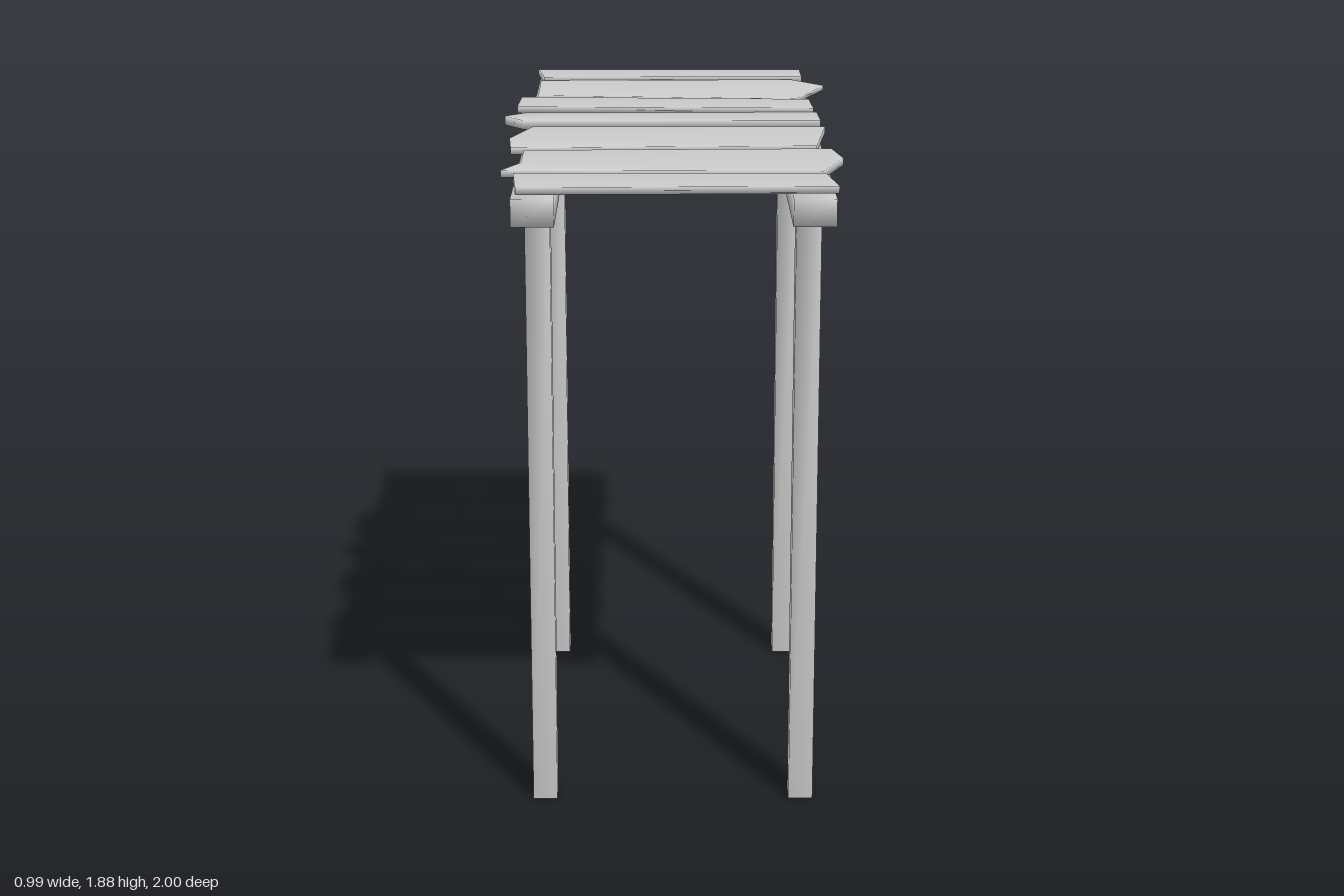
import * as THREE from 'three';
import { mergeVertices } from 'three/addons/utils/BufferGeometryUtils.js';

const material = new THREE.MeshStandardMaterial({ color: 0xcccccc });

// Welds the corners so that shading runs softly over the edges
function soften(geometry) {
  geometry.deleteAttribute('uv');
  geometry.deleteAttribute('normal');
  const welded = mergeVertices(geometry, 1e-4);
  welded.computeVertexNormals();
  return welded;
}

function addMesh(parent, name, geometry) {
  const mesh = new THREE.Mesh(soften(geometry), material);
  mesh.name = name;
  parent.add(mesh);
  return mesh;
}

// Board cut to an outline of [x, z] corners; its top runs from yFront to yBack
function plankGeometry({ outline, yFront, yBack, roll = 0, thickness = 0.02 }) {
  const shape = new THREE.Shape(outline.map(([x, z]) => new THREE.Vector2(x, -z)));
  const geometry = new THREE.ExtrudeGeometry(shape, { depth: thickness, bevelEnabled: false });
  geometry.rotateX(-Math.PI / 2);
  const zs = outline.map(([, z]) => z);
  const zBack = Math.min(...zs);
  const span = Math.max(...zs) - zBack;
  const p = geometry.attributes.position;
  for (let i = 0; i < p.count; i++) {
    const t = (p.getZ(i) - zBack) / span;
    p.setY(i, p.getY(i) - thickness + yBack + (yFront - yBack) * t + roll * p.getX(i));
  }
  return geometry;
}

// Deck boards from front to back, with broken or skewed ends
const planks = [
  { outline: [[-0.435, 0.73], [0.415, 0.735], [0.435, 0.98], [-0.415, 1.0]], yFront: 1.877, yBack: 1.86 },
  { outline: [[-0.42, 0.42], [0.45, 0.4], [0.475, 0.54], [0.41, 0.72], [-0.47, 0.705], [-0.42, 0.6]], yFront: 1.863, yBack: 1.863 },
  { outline: [[-0.41, 0.07], [0.45, 0.1], [0.41, 0.385], [-0.46, 0.385], [-0.47, 0.245]], yFront: 1.866, yBack: 1.868, roll: 0.006 },
  { outline: [[-0.44, -0.145], [0.44, -0.15], [0.44, 0.05], [-0.44, 0.05], [-0.5, -0.06]], yFront: 1.88, yBack: 1.868, thickness: 0.027 },
  { outline: [[-0.47, -0.48], [0.43, -0.41], [0.43, -0.155], [-0.47, -0.2]], yFront: 1.88, yBack: 1.858 },
  { outline: [[-0.42, -0.73], [0.39, -0.74], [0.49, -0.65], [0.39, -0.455], [-0.42, -0.505]], yFront: 1.856, yBack: 1.869, thickness: 0.015 },
  { outline: [[-0.44, -1.0], [0.43, -0.99], [0.425, -0.75], [-0.41, -0.74]], yFront: 1.878, yBack: 1.86 },
];

export function createModel() {
  const model = new THREE.Group();
  model.name = 'plankPlatform';

  // Beams and posts on both sides
  for (const [side, s] of [['left', 1], ['right', -1]]) {
    const beam = addMesh(model, side + 'Beam', new THREE.BoxGeometry(0.115, 0.075, 1.965));
    beam.position.set(s * 0.373, 1.8025, -0.005);
    for (const [end, z] of [['Front', 0.68], ['Back', -0.465]]) {
      const post = addMesh(model, side + end + 'Post', new THREE.BoxGeometry(0.07, 1.78, 0.07));
      post.position.set(s * 0.372, 0.89, z);
    }
  }

  // Deck
  const deck = new THREE.Group();
  deck.name = 'deck';
  planks.forEach((plank, i) => addMesh(deck, 'plank' + (i + 1), plankGeometry(plank)));
  model.add(deck);
  return model;
}
